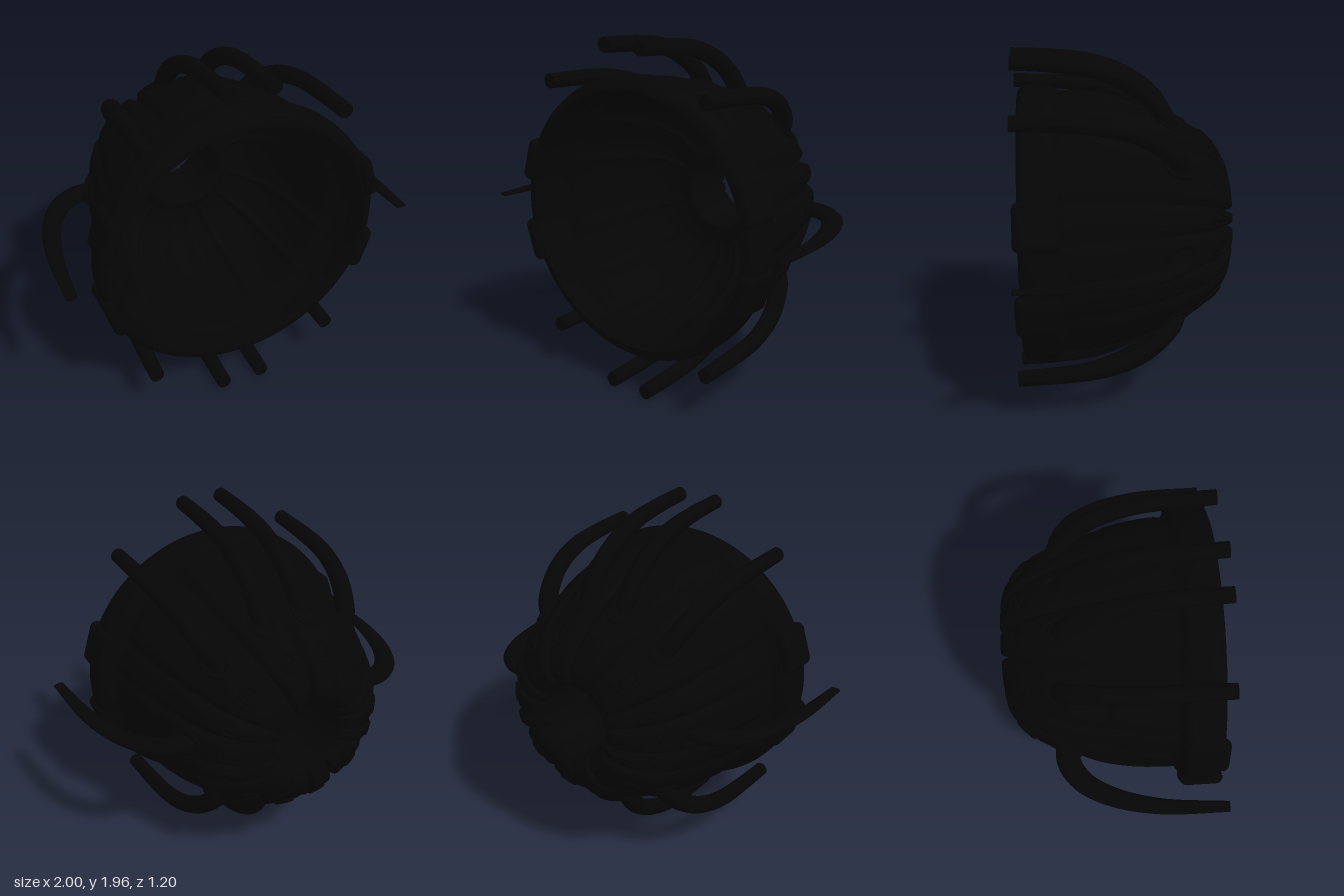
import * as THREE from 'three';
import { toCreasedNormals } from 'three/addons/utils/BufferGeometryUtils.js';
import { RoundedBoxGeometry } from 'three/addons/geometries/RoundedBoxGeometry.js';

const black = new THREE.MeshStandardMaterial({ color: 0x050505 });
black.name = 'matte black';

const DEG = Math.PI / 180;
const SEGMENTS = [0, 19, 45, 76.5]; // lobe centres in one quadrant, degrees
const HALF_WIDTH = [11, 8, 18, 13.5];
const GROOVES = [11, 27, 63, 90]; // grooves outside
const RIBS = [19, 45, 72, 90]; // ribs inside
const smooth = THREE.MathUtils.smoothstep;

// Angle folded into the first quadrant, in degrees
function fold(theta) {
  const a = ((theta / DEG) % 180 + 180) % 180;
  return a > 90 ? 180 - a : a;
}

// Sideways the bowl is wider at the rim and narrower in the middle
function sideScale(theta, r, z) {
  const rim = 0.03 * smooth(z, 0.33, 0.38);
  const waist = -0.055 * (1 - smooth(z, 0.32, 0.37)) * smooth(z, -0.45, 0);
  return 1 + Math.cos(theta) ** 2 * (rim + waist * smooth(r, 0.26, 0.4));
}

function makeMesh(name, geometry) {
  const mesh = new THREE.Mesh(geometry, black);
  mesh.name = name;
  return mesh;
}

// Bowl wall: closed profile of (radius, z, groove depth) swept round the z axis
function bowlGeometry() {
  const profile = [
    [0.735, 0.57, 0], [0.765, 0.555, 0], [0.782, 0.5, 0], [0.776, 0.4, 0], [0.762, 0.365, 0],
    [0.75, 0.345, -0.012], [0.738, 0.2, -0.015], [0.70, 0, -0.02], [0.638, -0.2, -0.026],
    [0.583, -0.32, -0.032], [0.515, -0.44, -0.04], [0.418, -0.54, -0.045], [0.335, -0.588, -0.05],
    [0.265, -0.595, -0.045], [0.22, -0.565, -0.015], [0.2, -0.51, 0], [0.2, -0.4, 0],
    [0.2, -0.24, 0], [0.215, -0.215, 0], [0.255, -0.22, 0], [0.275, -0.25, 0], [0.31, -0.26, 0.014],
    [0.42, -0.24, 0.02], [0.53, -0.14, 0.02], [0.62, 0.05, 0.02], [0.67, 0.3, 0.015],
    [0.685, 0.4, 0], [0.705, 0.43, 0], [0.71, 0.55, 0], [0.715, 0.57, 0], [0.735, 0.57, 0],
  ].map((p) => new THREE.Vector3(...p));
  const curve = new THREE.CatmullRomCurve3(profile);
  const ROWS = 140, COLS = 240;
  const rows = curve.getSpacedPoints(ROWS);
  const positions = [], index = [];
  for (let i = 0; i <= ROWS; i++) {
    const { x: r, y: z, z: depth } = rows[i];
    const t = curve.getTangentAt(i / ROWS);
    const len = Math.hypot(t.x, t.y) || 1;
    const nr = -t.y / len, nz = t.x / len;
    for (let j = 0; j < COLS; j++) {
      const theta = (j / COLS) * Math.PI * 2;
      const a = fold(theta);
      let d = 0;
      for (const g of depth > 0 ? RIBS : GROOVES) d += depth * Math.exp(-(((a - g) / 2.2) ** 2));
      // Raised panels on the outside of each wide lobe
      if (nr > 0.5) {
        for (const k of [0, 2, 3]) {
          const across = 1 - smooth(Math.abs(a - SEGMENTS[k]), HALF_WIDTH[k] - 5.5, HALF_WIDTH[k] - 3.5);
          d += 0.007 * across * smooth(z, -0.03, 0) * (1 - smooth(z, 0.29, 0.32));
        }
      }
      const rr = r * sideScale(theta, r, z) + nr * d;
      positions.push(rr * Math.cos(theta), rr * Math.sin(theta), z + nz * d);
      if (i < ROWS) {
        const k = (j + 1) % COLS;
        const p = i * COLS + j, q = i * COLS + k;
        index.push(p, p + COLS, q + COLS, p, q + COLS, q);
      }
    }
  }
  const geometry = new THREE.BufferGeometry();
  geometry.setAttribute('position', new THREE.Float32BufferAttribute(positions, 3));
  geometry.setIndex(index);
  return toCreasedNormals(geometry, 0.8);
}

// Rounded pad bent to follow the rim
function padGeometry() {
  const geometry = new RoundedBoxGeometry(0.25, 0.24, 0.08, 6, 0.036);
  const pos = geometry.attributes.position;
  for (let i = 0; i < pos.count; i++) {
    pos.setZ(i, pos.getZ(i) - pos.getX(i) ** 2 / 1.6);
  }
  geometry.computeVertexNormals();
  return geometry;
}

// Curved arm: a tube whose section grows from tip to base; flat gives the thickness along y
function arm(name, points, tip, base, flat) {
  const group = new THREE.Group();
  group.name = name;
  const curve = new THREE.CatmullRomCurve3(points);
  const LENGTH = 40, SIDES = 16;
  const geometry = new THREE.TubeGeometry(curve, LENGTH, 1, SIDES);
  const pos = geometry.attributes.position;
  const v = new THREE.Vector3();
  for (let i = 0; i < pos.count; i++) {
    const u = Math.floor(i / (SIDES + 1)) / LENGTH;
    const c = curve.getPointAt(u);
    const size = tip + (base - tip) * u;
    v.fromBufferAttribute(pos, i).sub(c).multiplyScalar(size);
    if (flat) v.y *= (flat[0] + (flat[1] - flat[0]) * u) / size;
    v.add(c);
    pos.setXYZ(i, v.x, v.y, v.z);
  }
  geometry.computeVertexNormals();
  group.add(makeMesh('armTube', geometry));
  // Flat end at the tip
  const cap = makeMesh('armTip', new THREE.CircleGeometry(tip, SIDES));
  cap.position.copy(points[0]);
  if (flat) cap.scale.y = flat[0] / tip;
  group.add(cap);
  return group;
}

// Puts an object on the shell with its own z axis along the surface normal
function seat(object, theta, r, z, nr, nz) {
  const s = sideScale(theta, r, z);
  const c = Math.cos(theta), n = Math.sin(theta);
  object.position.set(r * s * c, r * s * n, z);
  const out = new THREE.Vector3(nr * c, nr * n, nz).normalize();
  const side = new THREE.Vector3(-n, c, 0);
  const along = new THREE.Vector3().crossVectors(out, side);
  object.quaternion.setFromRotationMatrix(new THREE.Matrix4().makeBasis(side, along, out));
  return object;
}

export function createModel() {
  const model = new THREE.Group();
  model.name = 'ribbedBowlWithArms';
  const body = new THREE.Group();
  body.name = 'body';
  body.position.y = 0.983;
  model.add(body);

  body.add(makeMesh('bowl', bowlGeometry()));

  const upright = [[0.12, 0.94, 0.6], [0.12, 0.925, 0.35], [0.12, 0.892, 0.14],
    [0.12, 0.815, -0.04], [0.12, 0.715, -0.17], [0.12, 0.61, -0.24], [0.12, 0.55, -0.255]];
  const diagonal = [[0.535, 0.715, 0.6], [0.53, 0.705, 0.35], [0.52, 0.685, 0.14],
    [0.495, 0.635, -0.04], [0.46, 0.56, -0.17], [0.42, 0.475, -0.255], [0.385, 0.425, -0.28]];
  const sideways = [[0.97, 0, 0.6], [0.945, 0, 0.22], [0.88, 0, -0.03],
    [0.785, 0, -0.19], [0.67, 0, -0.262], [0.56, 0, -0.26]];
  const mirrored = (points, sx, sy) => points.map(([x, y, z]) => new THREE.Vector3(x * sx, y * sy, z));

  const socket = new THREE.TorusGeometry(0.075, 0.018, 10, 28);
  const noduleRing = new THREE.TorusGeometry(0.042, 0.013, 10, 24);
  const noduleDome = new THREE.SphereGeometry(0.032, 16, 10);
  const pad = padGeometry();

  for (const sx of [1, -1]) {
    body.add(arm('sideArm', mirrored(sideways, sx, 1), 0.03, 0.07, [0.01, 0.042]));
    for (const sy of [1, -1]) {
      body.add(arm('uprightArm', mirrored(upright, sx, sy), 0.041, 0.055));
      body.add(arm('diagonalArm', mirrored(diagonal, sx, sy), 0.041, 0.055));

      const angle = (deg) => Math.atan2(sy * Math.sin(deg * DEG), sx * Math.cos(deg * DEG));
      // Rim pads
      body.add(seat(makeMesh('rimPad', pad), angle(18), 0.763, 0.476, 1, 0));
      // Sockets where the arms meet the shell
      for (const deg of [0, 47, 78]) {
        if (deg === 0 && sy < 0) continue;
        const ring = seat(makeMesh('armSocket', socket), angle(deg), 0.602, -0.28, 0.9, -0.42);
        ring.scale.set(0.85, 1.15, 0.7);
        body.add(ring);
      }
      // Oval nodules round the back
      SEGMENTS.forEach((deg) => {
        if (deg === 0 && sy < 0) return;
        const nodule = new THREE.Group();
        nodule.name = 'nodule';
        const dome = makeMesh('noduleDome', noduleDome);
        dome.scale.z = 0.5;
        nodule.add(makeMesh('noduleRing', noduleRing), dome);
        nodule.scale.set(deg === 19 ? 0.75 : 0.95, 1.15, 0.8);
        body.add(seat(nodule, angle(deg), 0.468, -0.493, 0.72, -0.7));
      });
    }
  }
  return model;
}
